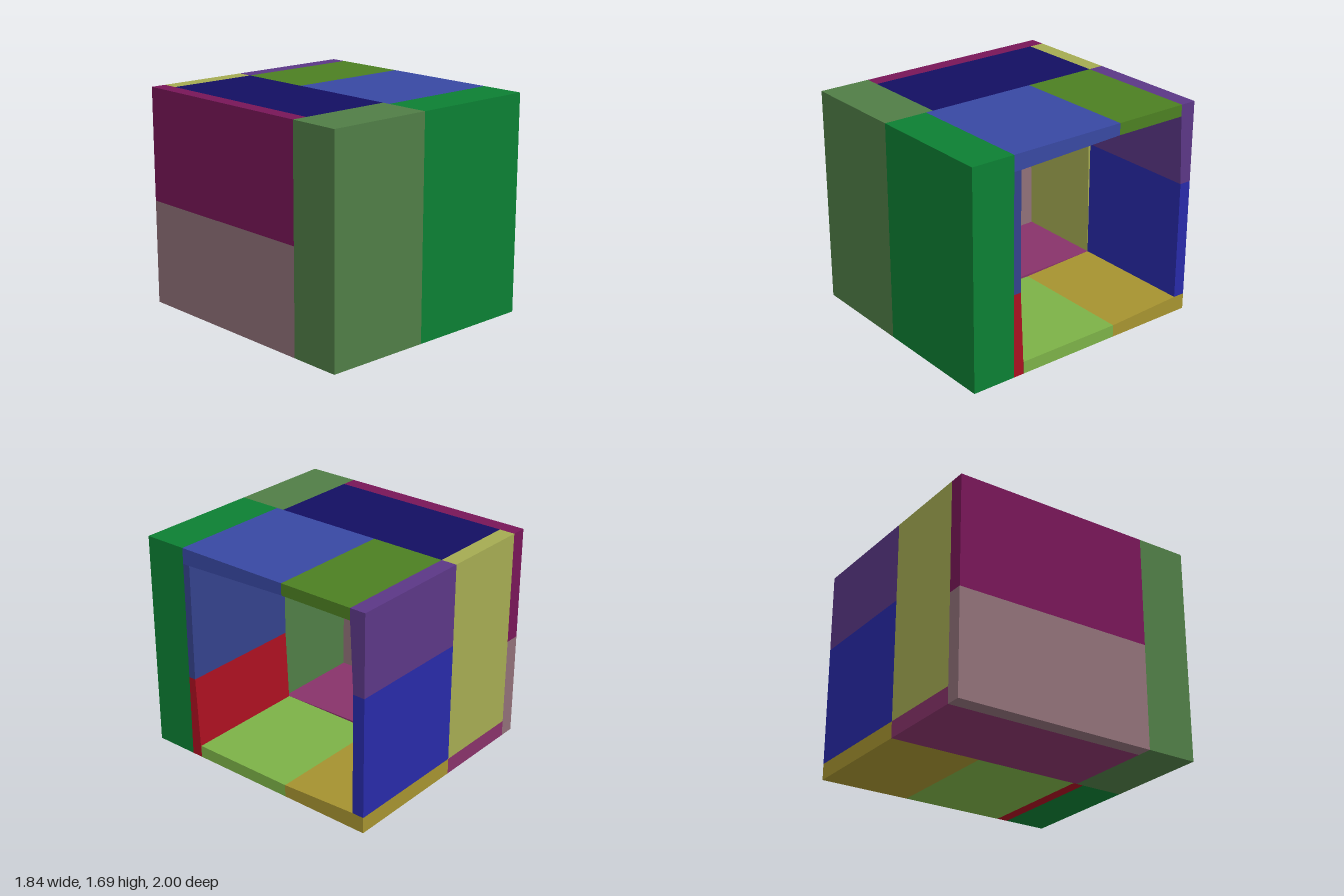
import * as THREE from 'three';

// Outer extents and the shared seams between blocks
const X = 0.92, SEAM = -0.08, WALL = -0.80, TOP = 1.69;

// Solid block: a [z, y] outline (counter-clockwise) swept from x0 to x1
function block(name, color, x0, x1, outline) {
  const shape = new THREE.Shape(outline.map(([z, y]) => new THREE.Vector2(z, y)));
  const geo = new THREE.ExtrudeGeometry(shape, { depth: x1 - x0, bevelEnabled: false });
  geo.rotateY(-Math.PI / 2).translate(x1, 0, 0);
  const mesh = new THREE.Mesh(geo, new THREE.MeshStandardMaterial({ color, flatShading: true }));
  mesh.name = name;
  return mesh;
}

// Rectangular outline
const rect = (z0, z1, y0, y1) => [[z0, y0], [z1, y0], [z1, y1], [z0, y1]];

function section(name, ...parts) {
  const group = new THREE.Group();
  group.name = name;
  group.add(...parts);
  return group;
}

export function createModel() {
  const model = new THREE.Group();
  model.name = 'openBox';

  model.add(
    // Thick front wall with its inner lining
    section('frontWall',
      block('frontLeftBlock', 0x0c7f33, SEAM, X, rect(0.655, 1, 0, TOP)),
      block('frontRightBlock', 0x507d46, -X, SEAM, rect(0.595, 1, 0, TOP)),
      block('upperLining', 0x34428c, SEAM, X, rect(0.595, 0.655, 0.655, 1.568)),
      block('lowerLining', 0xaa1020, SEAM, X,
        [[0.565, 0], [0.655, 0], [0.655, 0.655], [0.595, 0.655]])),

    // Roof panels, slightly thicker towards the front
    section('roof',
      block('roofFrontPanel', 0x3848a2, SEAM, X,
        [[-0.28, 1.6], [0.595, 1.568], [0.655, 1.568], [0.655, TOP], [-0.28, TOP]]),
      block('roofBackPanel', 0x4c7f22, SEAM, X, rect(-0.875, -0.28, 1.6, TOP)),
      block('roofRightPanel', 0x130f62, WALL, SEAM, rect(-0.875, 0.595, 1.6, TOP))),

    // Floor panels, rising towards the back
    section('floor',
      block('floorFrontPanel', 0x7cb147, SEAM, X, rect(-0.28, 0.565, 0, 0.096)),
      block('floorBackPanel', 0xa69330, SEAM, X,
        [[-1, 0], [-0.28, 0], [-0.28, 0.096], [-0.905, 0.126], [-1, 0.126]]),
      block('floorRightPanel', 0x88336a, WALL, SEAM,
        [[-1, 0], [0.595, 0], [0.595, 0.096], [-0.905, 0.126], [-1, 0.126]])),

    // Back wall, thicker at the top
    section('backWall',
      block('backUpperPanel', 0x5b3786, SEAM, X,
        [[-1, 1.063], [-0.905, 1.063], [-0.875, 1.6], [-0.875, TOP], [-1, TOP]]),
      block('backLowerPanel', 0x282aa8, SEAM, X, rect(-1, -0.905, 0.126, 1.063)),
      block('backRightPanel', 0xa5ab52, WALL, SEAM,
        [[-1, 0.126], [-0.905, 0.126], [-0.875, 1.6], [-0.875, TOP], [-1, TOP]])),

    // Closed right side wall
    section('rightWall',
      block('rightUpperPanel', 0x781658, -X, WALL, rect(-1, 0.595, 0.813, TOP)),
      block('rightLowerPanel', 0x907078, -X, WALL, rect(-1, 0.595, 0, 0.813))),
  );
  return model;
}
